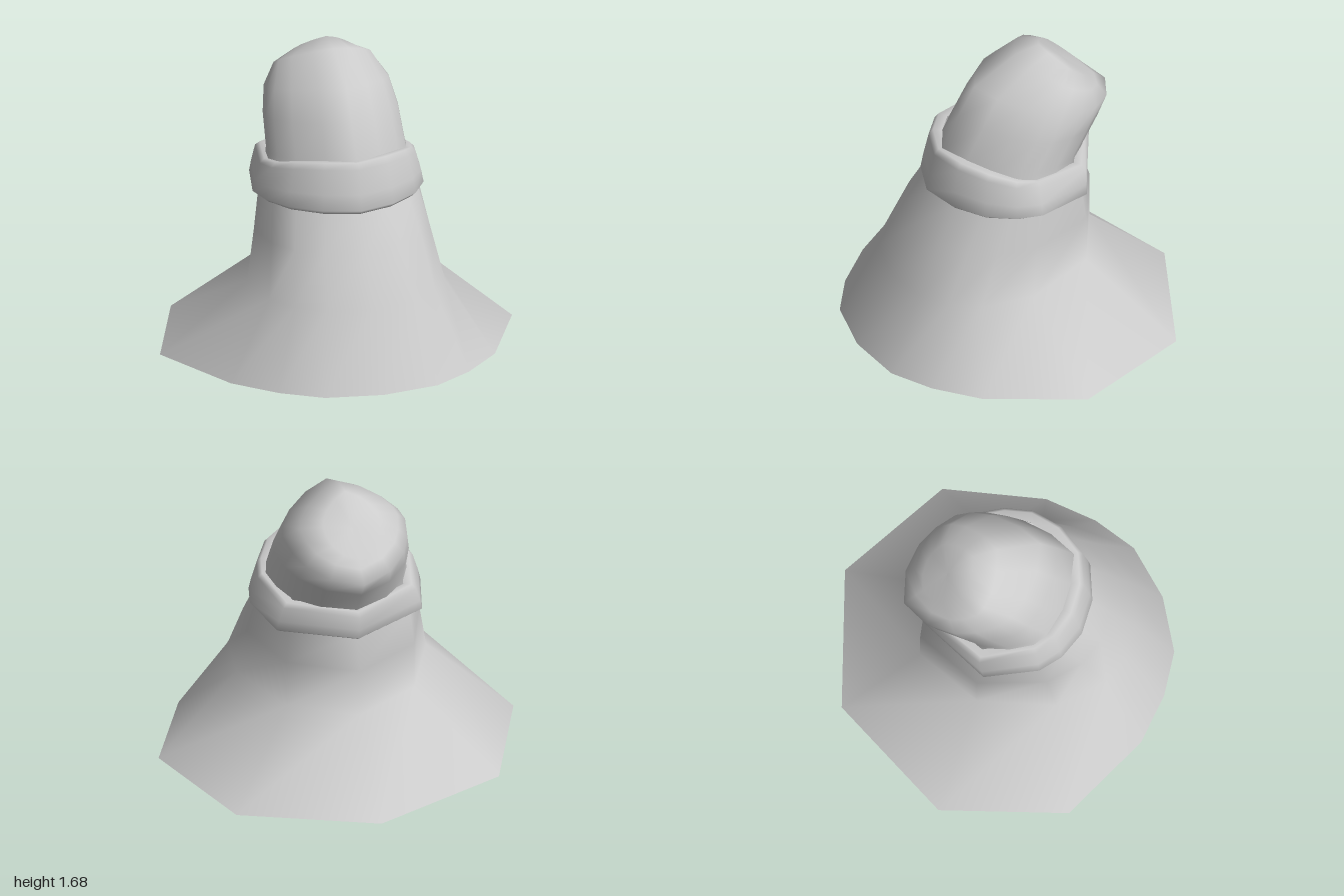
import * as THREE from 'three';

const material = new THREE.MeshStandardMaterial({ color: 0xcccccc, side: THREE.DoubleSide });

// Skins a stack of half rings (front to back along +x), mirrored to full loops.
function loft(name, halfRings) {
  const rings = halfRings.map((half) => [
    ...half,
    ...half.slice(1, -1).reverse().map(([x, y, z]) => [-x, y, z]),
  ]);
  const n = rings[0].length;
  const index = [];
  for (let i = 0; i < rings.length - 1; i++) {
    for (let j = 0; j < n; j++) {
      const a = i * n + j, b = i * n + ((j + 1) % n);
      index.push(a, b, b + n, a, b + n, a + n);
    }
  }
  const geometry = new THREE.BufferGeometry();
  geometry.setAttribute('position', new THREE.Float32BufferAttribute(rings.flat(2), 3));
  geometry.setIndex(index);
  geometry.computeVertexNormals();
  const mesh = new THREE.Mesh(geometry, material);
  mesh.name = name;
  return mesh;
}

// Flared cape, open at the hem, upright at the back
function createCape() {
  const level = (y, points) => points.map(([x, z]) => [x, y, z]);
  return loft('cape', [
    level(0, [[0, 0.93], [0.32, 0.88], [0.54, 0.74], [0.75, 0.53], [1, 0.02], [0.74, -0.64], [0, -0.93]]),
    level(0.42, [[0, 0.73], [0.25, 0.68], [0.4, 0.57], [0.5, 0.42], [0.535, 0.12], [0.36, -0.28], [0, -0.475]]),
    level(0.7, [[0, 0.59], [0.22, 0.54], [0.36, 0.44], [0.45, 0.3], [0.485, 0.08], [0.36, -0.28], [0, -0.475]]),
    level(0.9, [[0, 0.47], [0.18, 0.42], [0.32, 0.32], [0.41, 0.2], [0.45, 0.04], [0.34, -0.26], [0, -0.41]]),
  ]);
}

// Thick collar band, taller at the front and leaning in towards the hood
function createBand() {
  const outline = [[0, 0.51], [0.2, 0.45], [0.36, 0.33], [0.45, 0.18], [0.48, 0.04], [0.41, -0.27], [0, -0.475]];
  const top = [1.17, 1.17, 1.15, 1.11, 1.09, 1.07, 1.07];
  // Each row: outline scale, back depth scale, height fraction from bottom to top
  const section = [
    [0.85, 0.86, 0], [0.95, 0.92, 0], [1, 0.96, 0.09], [0.97, 0.98, 0.4],
    [0.91, 1, 0.88], [0.86, 0.94, 1], [0.76, 0.85, 0.97],
  ];
  return loft('collarBand', section.map(([s, back, f]) =>
    outline.map(([x, z], j) => [x * s, 0.89 + (top[j] - 0.89) * f, z * (z < 0 ? back : s)])));
}

// Hood: tilting rings, pointed at the front, ending in a slanted flat face at the back
function createHood() {
  // Each row: front z, front y, back z, back y, half width
  const rings = [
    [0.44, 1.0, -0.38, 1.0, 0.41],
    [0.42, 1.16, -0.42, 1.07, 0.385],
    [0.32, 1.35, -0.51, 1.22, 0.375],
    [0.22, 1.52, -0.57, 1.32, 0.345],
    [-0.03, 1.66, -0.5, 1.38, 0.275],
    [-0.17, 1.68, -0.46, 1.42, 0.16],
    [-0.32, 1.54, -0.32, 1.54, 0],
  ];
  // Width fraction and position from front to back
  const outline = [
    [0, 0], [0.4, 0.09], [0.75, 0.23], [0.94, 0.36], [1, 0.46],
    [0.94, 0.62], [0.8, 0.76], [0.48, 0.91], [0, 1],
  ];
  return loft('hood', rings.map(([fz, fy, bz, by, w]) =>
    outline.map(([u, k]) => [w * u, fy + (by - fy) * k, fz + (bz - fz) * k])));
}

export function createModel() {
  const model = new THREE.Group();
  model.name = 'hoodedCape';
  model.add(createCape(), createBand(), createHood());
  return model;
}
